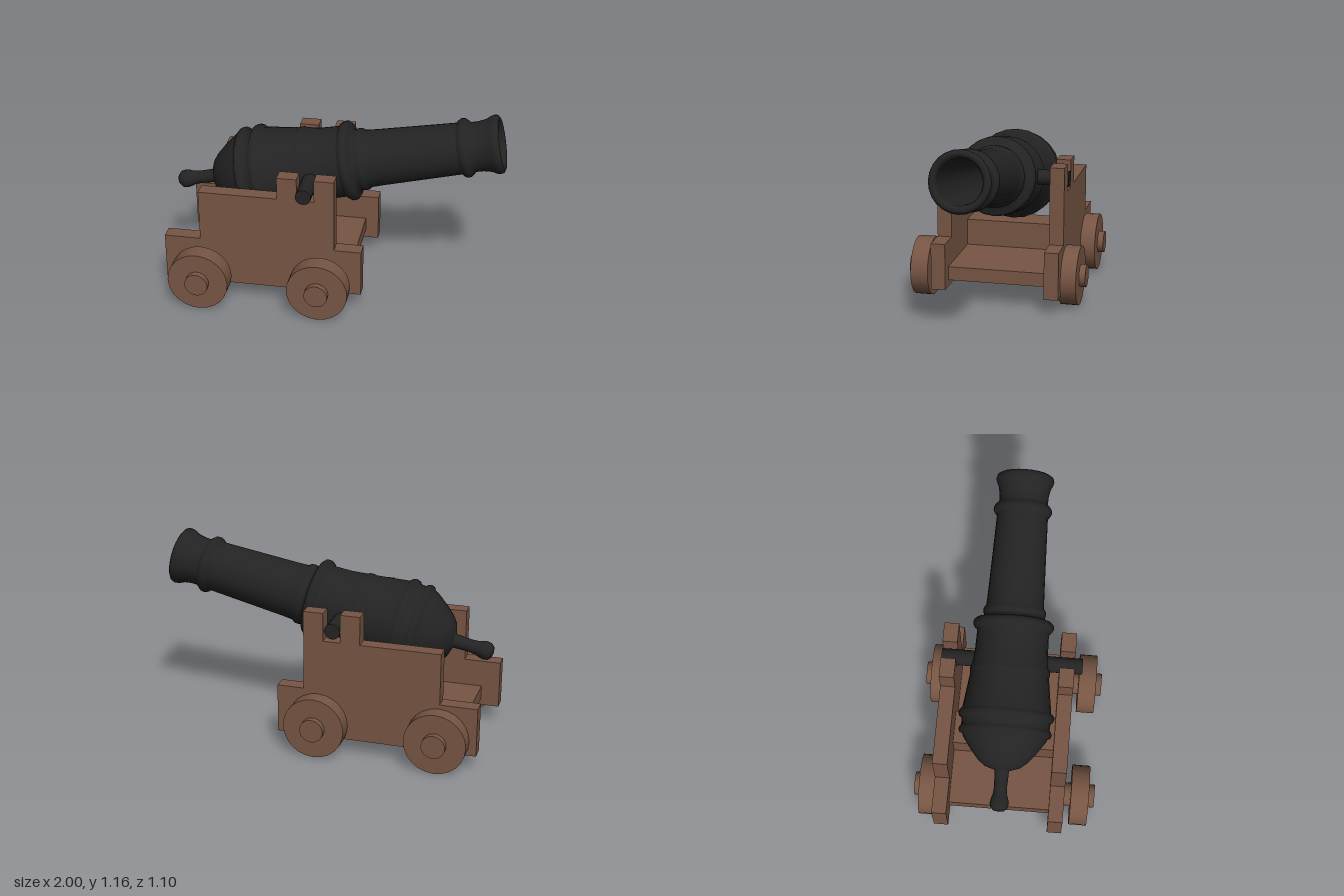
import * as THREE from 'three';

const wood = new THREE.MeshStandardMaterial({ color: 0x775543 });
wood.name = 'brown wood';
const iron = new THREE.MeshStandardMaterial({ color: 0x232323 });
iron.name = 'dark iron';

function part(name, geometry, material, x = 0, y = 0, z = 0) {
  const mesh = new THREE.Mesh(geometry, material);
  mesh.name = name;
  mesh.position.set(x, y, z);
  return mesh;
}

// Box given by its minimum and maximum corners
function block(name, [x0, y0, z0], [x1, y1, z1], material) {
  return part(name, new THREE.BoxGeometry(x1 - x0, y1 - y0, z1 - z0), material,
    (x0 + x1) / 2, (y0 + y1) / 2, (z0 + z1) / 2);
}

// Cylinder lying along z
function roundBar(name, radius, z0, z1, sides, material, x, y) {
  const geometry = new THREE.CylinderGeometry(radius, radius, z1 - z0, sides).rotateX(Math.PI / 2);
  return part(name, geometry, material, x, y, (z0 + z1) / 2);
}

// Stepped side plate with two posts that hold the trunnion
function sidePlate(name, z0, bottom, step, top, postTop) {
  const outline = [
    [-1, bottom], [0.195, bottom], [0.195, step], [0.033, step], [0.033, postTop],
    [-0.085, postTop], [-0.085, top], [-0.187, top], [-0.187, postTop],
    [-0.305, postTop], [-0.305, top], [-0.78, top], [-0.78, step], [-1, step],
  ].map(([x, y]) => new THREE.Vector2(x, y));
  const geometry = new THREE.ExtrudeGeometry(new THREE.Shape(outline), { depth: 0.088, bevelEnabled: false });
  return part(name, geometry, wood, 0, 0, z0);
}

function createBarrel() {
  const barrel = new THREE.Group();
  barrel.name = 'barrel';
  // Radius and distance along the axis, from the rear knob to the bore
  const profile = [
    [0, -0.885], [0.03, -0.88], [0.05, -0.862], [0.056, -0.835], [0.05, -0.808], [0.042, -0.785],
    [0.038, -0.74], [0.042, -0.645], [0.06, -0.64], [0.105, -0.625], [0.145, -0.592], [0.185, -0.545],
    [0.222, -0.495], [0.244, -0.462], [0.25, -0.446], [0.268, -0.438], [0.275, -0.42], [0.268, -0.402],
    [0.26, -0.392], [0.262, -0.355], [0.276, -0.345], [0.283, -0.325], [0.276, -0.305], [0.262, -0.292],
    [0.246, -0.18], [0.233, -0.085], [0.237, -0.07], [0.236, -0.05], [0.228, -0.035],
    [0.216, 0.06], [0.213, 0.175], [0.228, 0.185], [0.24, 0.207], [0.238, 0.228], [0.222, 0.243],
    [0.19, 0.25], [0.181, 0.27], [0.187, 0.285], [0.186, 0.305], [0.172, 0.325],
    [0.168, 0.4], [0.16, 0.65], [0.153, 0.875], [0.165, 0.886], [0.176, 0.905], [0.174, 0.925],
    [0.16, 0.942], [0.147, 0.955], [0.147, 1.0], [0.156, 1.05], [0.17, 1.08], [0.175, 1.1],
    [0.17, 1.118], [0.155, 1.128], [0.135, 1.122], [0.128, 1.1], [0.125, 1.0], [0.122, 0.0], [0, -0.02],
  ].map(([r, s]) => new THREE.Vector2(r, s));
  barrel.add(part('barrelBody', new THREE.LatheGeometry(profile, 24), iron));
  barrel.rotation.z = THREE.MathUtils.degToRad(-78);
  barrel.position.set(-0.14, 0.765, -0.013);
  return barrel;
}

export function createModel() {
  const model = new THREE.Group();
  model.name = 'cannon';

  // Barrel and its cross pin
  model.add(createBarrel());
  model.add(roundBar('trunnion', 0.047, -0.42, 0.412, 20, iron, -0.14, 0.765));

  // Carriage: side plates, floor and the stool under the breech
  model.add(sidePlate('leftSidePlate', 0.277, 0.11, 0.4, 0.715, 0.852));
  model.add(sidePlate('rightSidePlate', -0.418, 0.098, 0.392, 0.7, 0.87));
  model.add(block('floor', [-0.89, 0.15, -0.35], [0.115, 0.235, 0.29], wood));
  model.add(block('breechStool', [-0.56, 0.235, -0.35], [-0.36, 0.402, 0.29], wood));

  // Wheels with hubs
  for (const side of [1, -1]) {
    for (const [end, x] of [['rear', -0.772], ['front', -0.049]]) {
      const wheel = new THREE.Group();
      wheel.name = end + 'Wheel';
      wheel.add(roundBar('tread', 0.183, side > 0 ? 0.405 : -0.512, side > 0 ? 0.513 : -0.405, 24, wood, 0, 0));
      wheel.add(roundBar('hub', 0.07, side > 0 ? 0.35 : -0.55, side > 0 ? 0.55 : -0.4, 24, wood, 0, 0));
      wheel.position.set(x + side * 0.003, 0.184, 0);
      model.add(wheel);
    }
  }
  return model;
}
